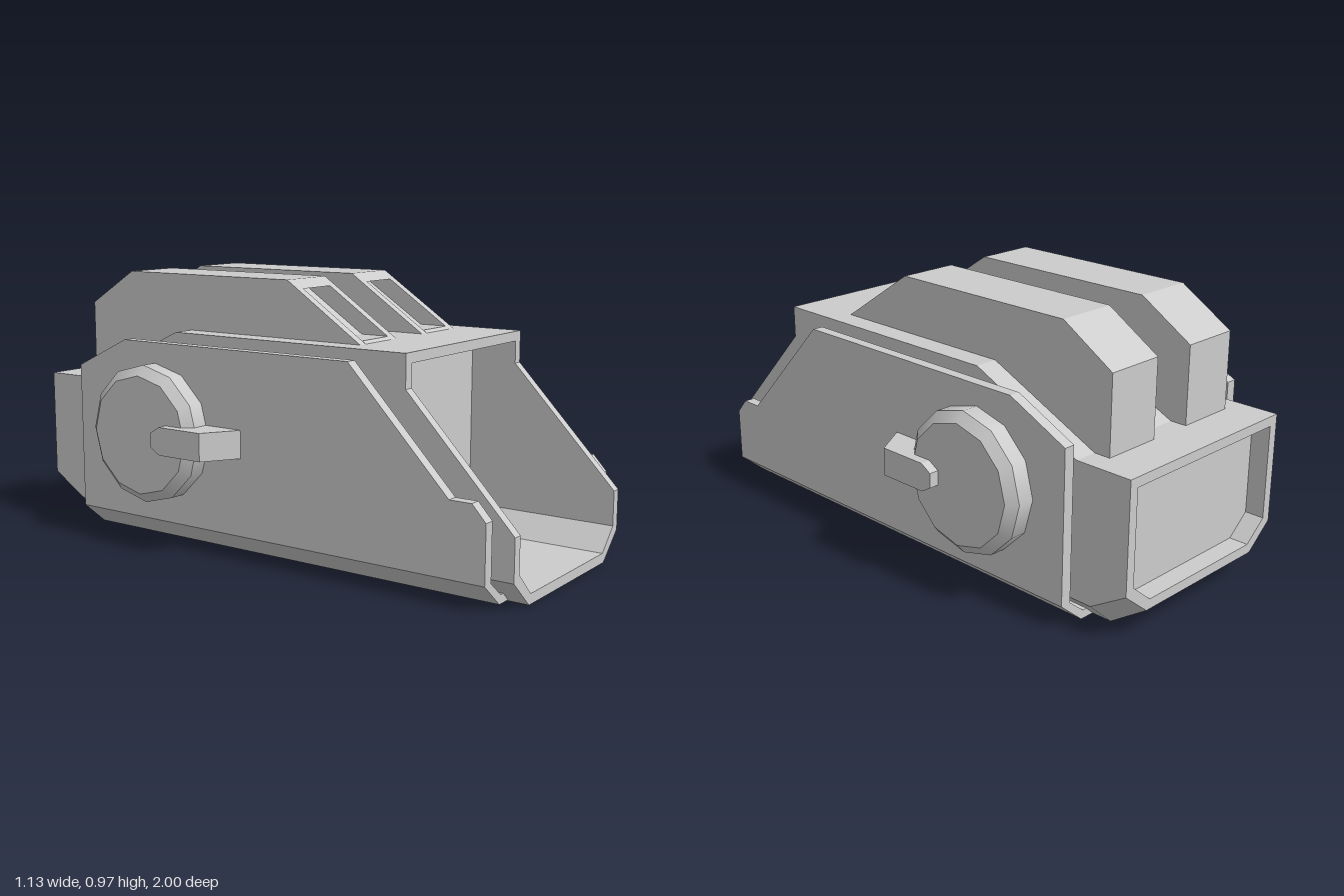
import * as THREE from 'three';

const material = new THREE.MeshStandardMaterial({ color: 0xcccccc });

// Extrude a [z, y] outline across x0..x1
function extrudeX(points, x0, x1) {
  const shape = new THREE.Shape(points.map(([z, y]) => new THREE.Vector2(z, y)));
  return new THREE.ExtrudeGeometry(shape, { depth: x1 - x0, bevelEnabled: false })
    .rotateY(-Math.PI / 2).translate(x1, 0, 0);
}

// Mirrored copy across x = 0, with corner order restored
function mirrorX(geometry) {
  const g = geometry.index ? geometry.toNonIndexed() : geometry.clone();
  g.scale(-1, 1, 1);
  for (const name of ['position', 'normal']) {
    const a = g.attributes[name].array;
    for (let i = 0; i < a.length; i += 9) {
      for (let k = 0; k < 3; k++) [a[i + k], a[i + 6 + k]] = [a[i + 6 + k], a[i + k]];
    }
  }
  return g;
}

// Symmetric ring, counter-clockwise from the front, from its right half [x, y, z]
function ring(half) {
  return [...half, ...half.slice().reverse().map(([x, y, z]) => [-x, y, z])];
}

// Skin a run of rings and close both ends
function loft(rings) {
  const out = [];
  const tri = (a, b, c) => out.push(...a, ...b, ...c);
  const first = rings[0], last = rings[rings.length - 1], n = first.length;
  for (let r = 0; r < rings.length - 1; r++) {
    const p = rings[r], q = rings[r + 1];
    for (let j = 0; j < n; j++) {
      const k = (j + 1) % n;
      tri(p[j], q[j], q[k]);
      tri(p[j], q[k], p[k]);
    }
  }
  for (let j = 1; j < n - 1; j++) {
    tri(first[0], first[j], first[j + 1]);
    tri(last[0], last[j + 1], last[j]);
  }
  const g = new THREE.BufferGeometry();
  g.setAttribute('position', new THREE.Float32BufferAttribute(out, 3));
  g.computeVertexNormals();
  return g;
}

// Outer hull section: flat top, straight sides, chamfered bottom
const hullRing = (z, top, lift = 0) => ring([
  [0.28, 0.005 + lift, z], [0.385, 0.1 + lift * 0.9, z], [0.385, 0.245, z],
  [0.385, Math.min(0.66, top), z], [0.385, top, z],
]);
const backInset = (z) => ring([
  [0.265, 0.135, z], [0.35, 0.205, z], [0.35, 0.245, z], [0.35, 0.54, z], [0.35, 0.54, z],
]);
// Front mouth section, inside the wall
const mouthRing = (zLow, zHigh) => ring([
  [0.27, 0.04, zLow], [0.35, 0.12, zLow], [0.35, 0.245, zLow],
  [0.35, 0.66, zHigh], [0.35, 0.74, zHigh],
]);

export function createModel() {
  const model = new THREE.Group();
  const add = (name, geometry, parent = model) => {
    const mesh = new THREE.Mesh(geometry, material);
    mesh.name = name;
    parent.add(mesh);
  };
  const addPair = (name, geometry) => {
    add(name + 'Left', geometry);
    add(name + 'Right', mirrorX(geometry));
  };

  // Hull: open sloped mouth in front, shallow recess behind
  const rim = ring([
    [0.28, 0.005, 1], [0.385, 0.1, 1], [0.385, 0.245, 1],
    [0.385, 0.66, 0.605], [0.385, 0.775, 0.605],
  ]);
  add('hull', loft([
    mouthRing(0.43, 0.43), mouthRing(1, 0.605), rim,
    hullRing(-0.36, 0.775), hullRing(-0.79, 0.575), hullRing(-0.86, 0.575),
    hullRing(-1, 0.575, 0.095), backInset(-1), backInset(-0.93),
  ]));

  // Roof housings: two cheeks around a core with a recessed front window
  const roofBack = [[-0.65, 0.975], [-0.85, 0.85], [-0.85, 0.57], [-0.79, 0.57], [-0.36, 0.77]];
  const cheek = [[0.38, 0.772], [0.075, 0.975], ...roofBack];
  const core = [[0.38, 0.772], [0.363, 0.785], [0.255, 0.785], [0.01, 0.945],
    [0.12, 0.945], [0.075, 0.975], ...roofBack];
  addPair('roofHousingInnerCheek', extrudeX(cheek, 0.083, 0.115));
  addPair('roofHousingCore', extrudeX(core, 0.115, 0.27));
  addPair('roofHousingOuterCheek', extrudeX(cheek, 0.27, 0.302));

  // Side plates with a lip folded under the hull
  addPair('sidePlate', extrudeX([
    [0.93, 0.092], [0.93, 0.29], [0.88, 0.345], [0.8, 0.345], [0.42, 0.74],
    [-0.56, 0.74], [-0.79, 0.63], [-0.79, 0.092],
  ], 0.4, 0.44));
  const lip = new THREE.Shape([
    [0.44, 0.092], [0.4, 0.092], [0.335, 0.04], [0.28, 0.04], [0.28, 0.01], [0.343, 0.01],
  ].map(([x, y]) => new THREE.Vector2(x, y)));
  addPair('sidePlateLip',
    new THREE.ExtrudeGeometry(lip, { depth: 1.72, bevelEnabled: false }).translate(0, 0, -0.79));

  // Round side hubs with a bevelled rim
  const drum = (rOuter, rInner, x0, x1) =>
    new THREE.CylinderGeometry(rOuter, rInner, x1 - x0, 12)
      .rotateZ(-Math.PI / 2).translate((x0 + x1) / 2, 0.418, -0.413);
  addPair('hubDrum', drum(0.248, 0.248, 0.43, 0.5));
  addPair('hubBevel', drum(0.213, 0.248, 0.5, 0.53));

  // Levers: clipped rear tip, front end slanting back to the outside
  const lever = extrudeX([
    [-0.02, 0.368], [-0.02, 0.467], [-0.285, 0.467], [-0.325, 0.443],
    [-0.325, 0.392], [-0.285, 0.368],
  ], 0.435, 0.565);
  const pos = lever.attributes.position;
  for (let i = 0; i < pos.count; i++) {
    if (pos.getX(i) > 0.5 && pos.getZ(i) > -0.1) pos.setZ(i, -0.1);
  }
  lever.computeVertexNormals();
  addPair('lever', lever);

  return model;
}
